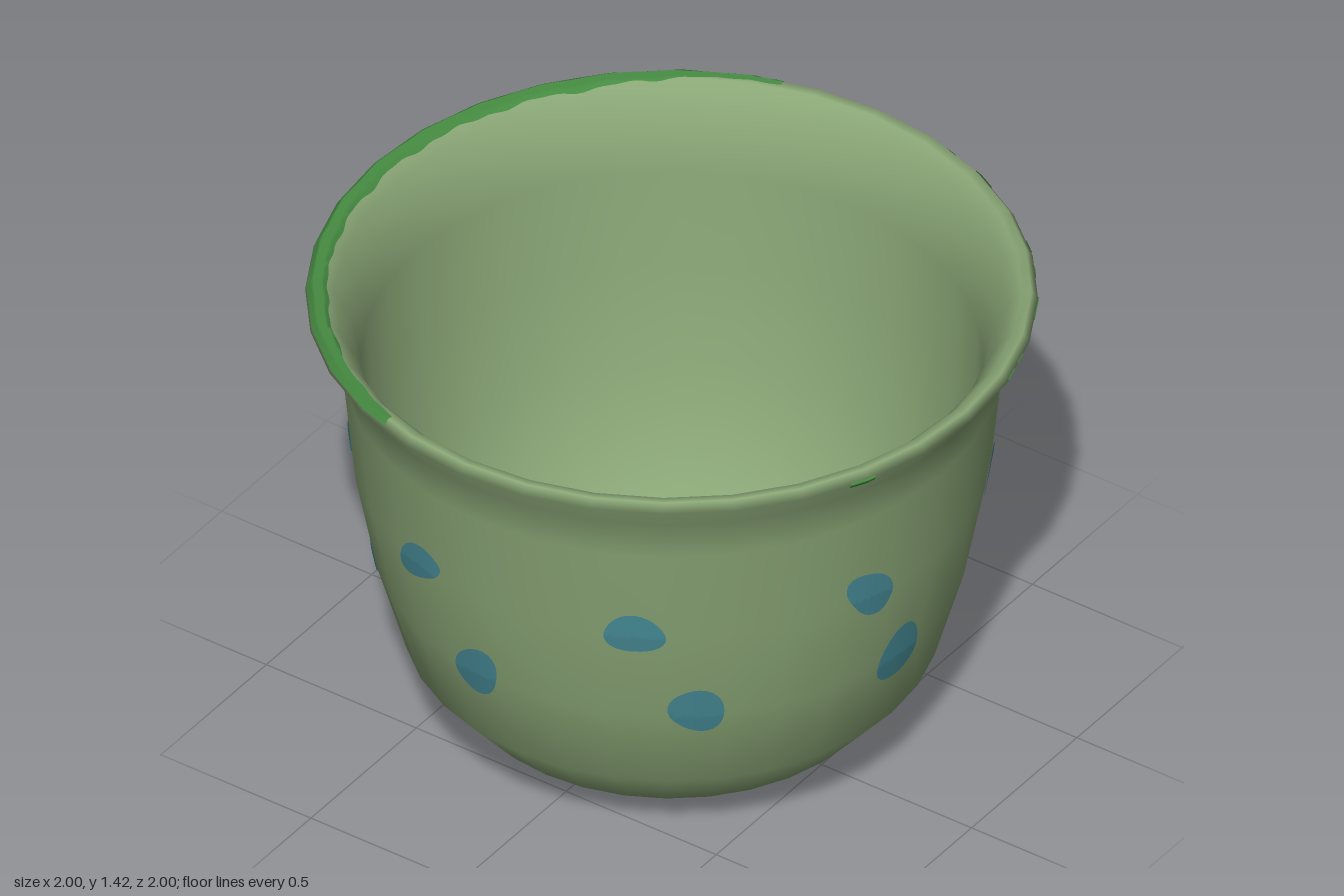
import * as THREE from 'three';

const SIDES = 32;
// Radius and height: up the outer wall, over the lip, down the inner wall
const PROFILE = [
  [0, 0], [0.16, 0.004], [0.41, 0.04], [0.595, 0.115], [0.735, 0.28], [0.815, 0.56], [0.875, 0.87],
  [0.905, 1.17], [0.935, 1.3], [1, 1.39], [0.982, 1.415], [0.955, 1.412], [0.92, 1.375],
  [0.875, 1.29], [0.85, 1.17], [0.83, 0.87], [0.77, 0.57], [0.69, 0.31], [0.56, 0.17], [0.38, 0.1], [0, 0.07],
];
const RAD = Math.PI / 180;

// Point on the faceted wall at an angle (degrees from front) and a profile position t
function wallPoint(deg, t, lift) {
  const i = Math.min(Math.floor(t), PROFILE.length - 2), f = t - i;
  const [r0, y0] = PROFILE[i], [r1, y1] = PROFILE[i + 1];
  const len = Math.hypot(r1 - r0, y1 - y0);
  const nr = (y1 - y0) / len, ny = (r0 - r1) / len;
  const a = deg * RAD, step = 2 * Math.PI / SIDES;
  const mid = (Math.floor(a / step) + 0.5) * step;
  const facet = Math.cos(step / 2) / Math.cos(a - mid);
  const r = (r0 + (r1 - r0) * f) * facet + nr * lift;
  return {
    position: [r * Math.sin(a), y0 + (y1 - y0) * f + ny * lift, r * Math.cos(a)],
    normal: [nr * Math.sin(a), ny, nr * Math.cos(a)],
  };
}

// Profile position of a height on the outer wall
function heightToT(y) {
  let i = 0;
  while (i < 8 && PROFILE[i + 1][1] < y) i++;
  return i + (y - PROFILE[i][1]) / (PROFILE[i + 1][1] - PROFILE[i][1]);
}

// Thin painted patch lying on the wall; at(u, v) gives [degrees, t]
function paint(name, material, nu, nv, at, lift = 0.004) {
  const positions = [], normals = [], index = [];
  for (let j = 0; j <= nv; j++) for (let i = 0; i <= nu; i++) {
    const p = wallPoint(...at(i / nu, j / nv), lift);
    positions.push(...p.position);
    normals.push(...p.normal);
    if (i < nu && j < nv) {
      const a = j * (nu + 1) + i, d = a + nu + 1;
      index.push(a, a + 1, d, a + 1, d + 1, d);
    }
  }
  const g = new THREE.BufferGeometry();
  g.setAttribute('position', new THREE.Float32BufferAttribute(positions, 3));
  g.setAttribute('normal', new THREE.Float32BufferAttribute(normals, 3));
  g.setIndex(index);
  const mesh = new THREE.Mesh(g, material);
  mesh.name = name;
  return mesh;
}

export function createModel() {
  const glaze = new THREE.MeshStandardMaterial({ color: 0x8aa676 });
  glaze.name = 'sage glaze';
  const blue = new THREE.MeshStandardMaterial({ color: 0x478c98, side: THREE.DoubleSide });
  blue.name = 'blue spots';
  const green = new THREE.MeshStandardMaterial({ color: 0x468c42, side: THREE.DoubleSide });
  green.name = 'green rim paint';

  const model = new THREE.Group();
  model.name = 'cup';

  // Body with wall thickness and flared lip
  const body = new THREE.Mesh(
    new THREE.LatheGeometry(PROFILE.map(([r, y]) => new THREE.Vector2(r, y)), SIDES), glaze);
  body.name = 'body';
  model.add(body);

  // Two staggered rows of spots: angle, height, half width, half height, tilt, lopsidedness
  const spots = [
    [-61.6, 0.88, 0.085, 0.068, 0, 0.05], [-16.6, 0.885, 0.1, 0.062, -48, 0.08],
    [28.7, 0.86, 0.08, 0.07, 10, 0.08], [73.4, 0.87, 0.08, 0.062, -20, 0.16],
    [117, 0.88, 0.088, 0.085, 40, 0.06], [163.7, 0.88, 0.085, 0.06, -60, 0.05],
    [209, 0.875, 0.105, 0.066, 20, 0.13], [253, 0.88, 0.1, 0.055, 30, 0.08],
    [-50, 0.58, 0.085, 0.075, -60, 0.05], [-5.7, 0.57, 0.1, 0.08, 90, 0.05],
    [40.7, 0.575, 0.1, 0.073, 45, 0.08], [84.5, 0.57, 0.09, 0.064, -80, 0.06],
    [129, 0.565, 0.085, 0.06, -60, 0.14], [173.5, 0.575, 0.115, 0.075, 70, 0.06],
    [220, 0.565, 0.09, 0.06, 25, 0.14], [264.5, 0.57, 0.1, 0.068, 60, 0.05],
  ];
  const spotGroup = new THREE.Group();
  spotGroup.name = 'spots';
  for (const [deg, y, w, h, tilt, lop] of spots) {
    const radius = y > 0.7 ? 0.875 : 0.815, c = Math.cos(tilt * RAD), s = Math.sin(tilt * RAD);
    spotGroup.add(paint('spot', blue, 28, 5, (u, v) => {
      const a = u * 2 * Math.PI, k = (1 - v) * (1 + lop * Math.cos(3 * a + deg));
      const px = w * k * Math.cos(a), py = h * k * Math.sin(a);
      return [deg + (px * c - py * s) / radius / RAD, heightToT(y + px * s + py * c)];
    }));
  }
  model.add(spotGroup);

  // Uneven paint over the back half of the lip
  const rim = new THREE.Group();
  rim.name = 'rimPaint';
  rim.add(paint('rimBand', green, 128, 10, (u, v) => {
    const deg = 107 + 146 * u;
    const inner = 10.55 + 0.75 * Math.min(1, 5 * Math.min(u, 1 - u)) + 0.08 * Math.sin(u * 61) + 0.05 * Math.sin(u * 143);
    return [deg, 9.3 + (inner - 9.3) * v];
  }, 0.003));

  // Small worn dabs under the lip edge: start and end angle
  const dabs = [[-25.5, -21], [12, 15], [16.5, 19], [28.5, 34], [39.5, 42], [46, 49], [64, 69],
    [74, 76], [97.5, 103], [125, 146]];
  for (const [from, to] of dabs) {
    rim.add(paint('rimDab', green, 8, 4, (u, v) => [from + (to - from) * u, 8.85 + 0.3 * v], 0.003));
  }
  model.add(rim);
  return model;
}
